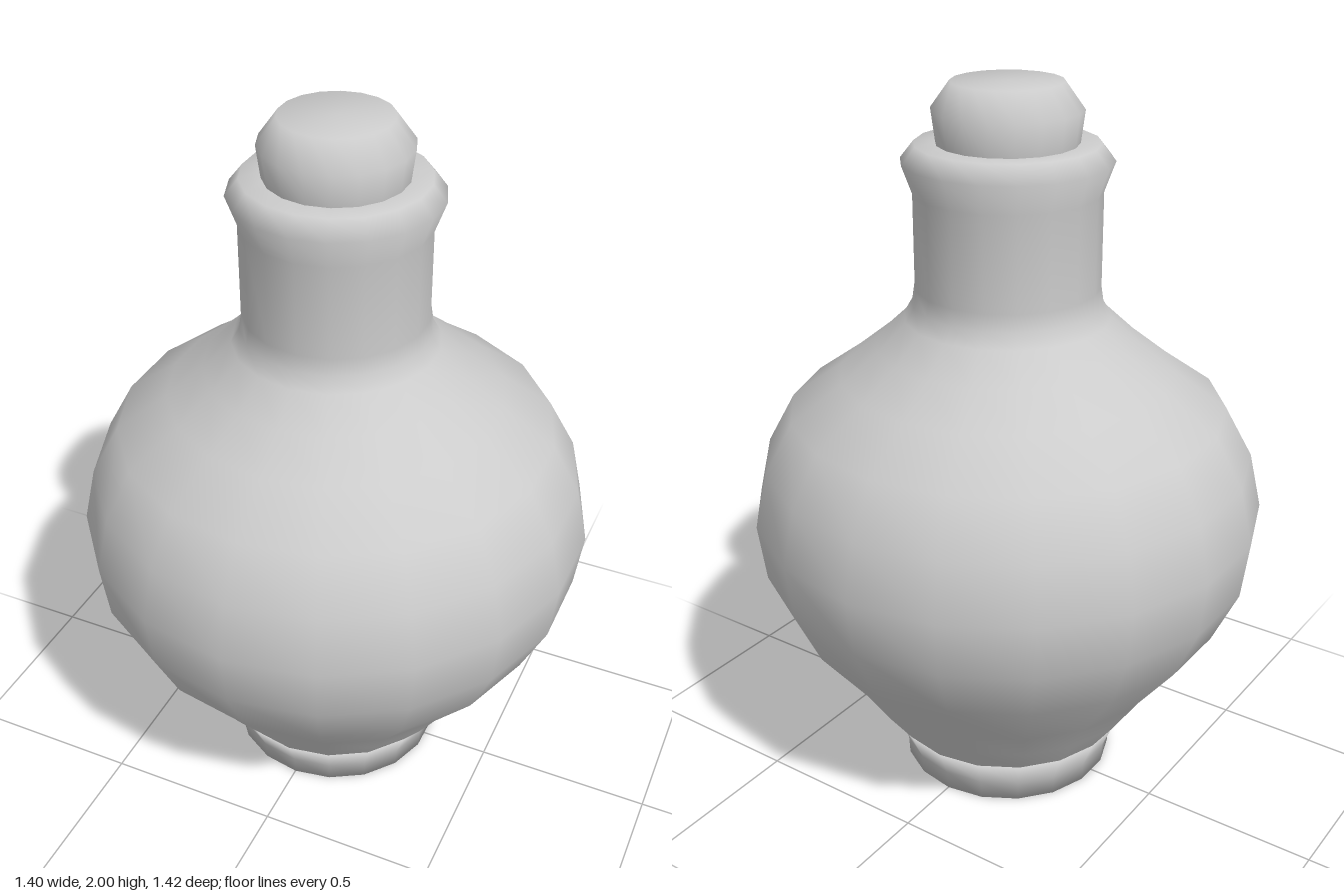
import * as THREE from 'three';

const SIDES = 18;

// Smooth surface of revolution from [radius, height] pairs, bottom to top
function turned(name, profile, material) {
  const points = profile.map(([r, y]) => new THREE.Vector2(r, y));
  const mesh = new THREE.Mesh(new THREE.LatheGeometry(points, SIDES), material);
  mesh.name = name;
  return mesh;
}

export function createModel() {
  const group = new THREE.Group();
  group.name = 'stopperedBottle';
  const material = new THREE.MeshStandardMaterial({ color: 0xcccccc });

  // Closed foot that the body rests on
  group.add(turned('foot', [
    [0, 0], [0.307, 0], [0.31, 0.055], [0.345, 0.14], [0, 0.14],
  ], material));

  // Belly, shoulder, neck and lip in one sweep
  group.add(turned('body', [
    [0.345, 0.14], [0.415, 0.235], [0.48, 0.335], [0.62, 0.515],
    [0.692, 0.67], [0.712, 0.83], [0.677, 0.985], [0.6, 1.125],
    [0.46, 1.225], [0.36, 1.305], [0.28, 1.38], [0.257, 1.42], [0.25, 1.465],
    [0.25, 1.72], [0.279, 1.8], [0.243, 1.845], [0.17, 1.845],
  ], material));

  // Stopper seated in the neck
  group.add(turned('stopper', [
    [0.184, 1.82], [0.187, 1.845], [0.198, 1.93], [0.147, 2], [0, 2],
  ], material));

  return group;
}
